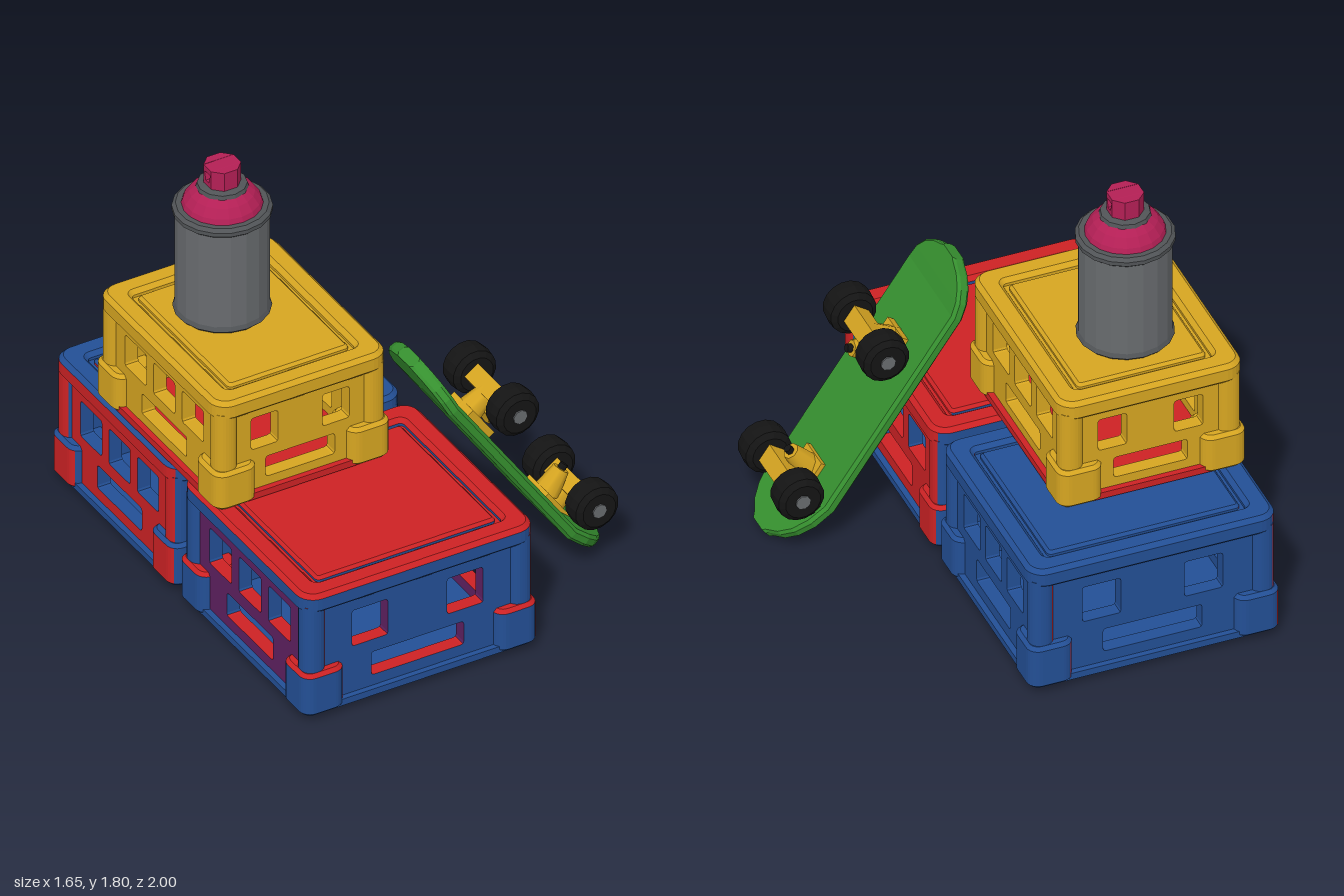
import * as THREE from 'three';

const mat = (name, color) => {
  const m = new THREE.MeshStandardMaterial({ color });
  m.name = name;
  return m;
};
const blue = mat('blue', 0x234f95), red = mat('red', 0xcc2224), yellow = mat('yellow', 0xd6a521);
const purple = mat('purple', 0x5e2060), green = mat('green', 0x36902f), black = mat('black', 0x141414);
const grey = mat('grey', 0x686b6e), darkGrey = mat('dark grey', 0x515457), pink = mat('pink', 0xb31f55);

// Flat-shaded geometry whose triangles are grouped by facing: +x, -x, +y, -y, +z, -z
function groupByFacing(src) {
  const p = (src.index ? src.toNonIndexed() : src).attributes.position;
  const buckets = [[], [], [], [], [], []];
  const t = new THREE.Triangle(), n = new THREE.Vector3();
  for (let i = 0; i < p.count; i += 3) {
    t.setFromAttributeAndIndices(p, i, i + 1, i + 2).getNormal(n);
    const c = n.toArray(), size = c.map(Math.abs);
    size[1] += 0.02;
    const axis = size.indexOf(Math.max(...size));
    for (const v of [t.a, t.b, t.c]) buckets[axis * 2 + (c[axis] < 0 ? 1 : 0)].push(v.x, v.y, v.z);
  }
  const geo = new THREE.BufferGeometry();
  geo.setAttribute('position', new THREE.Float32BufferAttribute(buckets.flat(), 3));
  let start = 0;
  buckets.forEach((b, i) => {
    if (b.length) geo.addGroup(start, b.length / 3, i);
    start += b.length / 3;
  });
  geo.computeVertexNormals();
  return geo;
}

function add(parent, name, geo, material, x = 0, y = 0, z = 0) {
  const mesh = new THREE.Mesh(geo, material);
  mesh.name = name;
  mesh.position.set(x, y, z);
  parent.add(mesh);
  return mesh;
}

// Rectangle with rounded corners, as a shape or a hole
function roundRect(Type, w, h, r, cx = 0, cy = 0) {
  const s = new Type(), x = w / 2 - r, y = h / 2 - r;
  s.absarc(cx + x, cy + y, r, 0, Math.PI / 2);
  s.absarc(cx - x, cy + y, r, Math.PI / 2, Math.PI);
  s.absarc(cx - x, cy - y, r, Math.PI, Math.PI * 1.5);
  s.absarc(cx + x, cy - y, r, Math.PI * 1.5, Math.PI * 2);
  s.closePath();
  return s;
}

// Horizontal bevelled plate from y0 to y1, optionally a ring of the given border
function plate(w, d, r, y0, y1, bevel = 0, border = 0) {
  const s = roundRect(THREE.Shape, w, d, r);
  if (border) s.holes.push(roundRect(THREE.Path, w - 2 * border, d - 2 * border, 0.02));
  const g = new THREE.ExtrudeGeometry(s, {
    depth: y1 - y0 - 2 * bevel, curveSegments: 3, bevelEnabled: bevel > 0,
    bevelThickness: bevel, bevelSize: bevel, bevelOffset: -bevel, bevelSegments: 1,
  });
  return g.rotateX(-Math.PI / 2).translate(0, y0 + bevel, 0);
}

// Wall with a row of windows over a low slot
function wall(length, h, count) {
  const k = h / 0.57, wide = length - 0.1;
  const s = roundRect(THREE.Shape, wide, h - 0.04, 0.005, 0, (h - 0.04) / 2);
  const hole = (x, y0, y1, half) =>
    s.holes.push(roundRect(THREE.Path, 2 * half, (y1 - y0) * k, 0.012, x, (y0 + y1) / 2 * k));
  const offsets = count === 2 ? [-0.203, 0.203] : [-0.23, 0, 0.23];
  for (const o of offsets) hole(o * length, 0.25, 0.42, length * (count === 2 ? 0.077 : 0.086));
  hole(0, 0.08, 0.19, length * (count === 2 ? 0.197 : 0.18));
  return new THREE.ExtrudeGeometry(s, { depth: 0.06, bevelEnabled: false, curveSegments: 1 });
}

function crate(name, x, y, z, w, h, d, mats, wallMats, floorMats) {
  const g = new THREE.Group();
  g.name = name;
  g.position.set(x, y, z);
  const part = (n, geo, m = mats) => add(g, n, groupByFacing(geo), m);
  part('floor', plate(w - 0.03, d - 0.03, 0.06, 0, 0.03), floorMats);
  part('topRim', plate(w - 0.015, d - 0.015, 0.075, h - 0.09, h, 0.018, 0.1));
  part('topGroove', plate(w - 0.16, d - 0.16, 0.02, h - 0.06, h - 0.03));
  part('topPanel', plate(w - 0.25, d - 0.25, 0.02, h - 0.04, h - 0.006, 0.012));
  for (let i = 0; i < 4; i++) {
    const end = i % 2 === 0;
    const geo = wall(end ? w : d, h, end ? 2 : 3);
    geo.translate(0, 0, (end ? d : w) / 2 - 0.1).rotateY(i * Math.PI / 2);
    part('wall', geo, wallMats);
  }
  // Corner posts standing on wider feet
  const foot = 0.19, post = 0.1, fh = 0.2 * h / 0.57;
  for (const sx of [-1, 1]) for (const sz of [-1, 1]) {
    part('cornerFoot', plate(foot, foot, 0.05, 0, fh, 0.015)
      .translate(sx * (w - foot) / 2, 0, sz * (d - foot) / 2));
    part('cornerPost', plate(post, post, 0.045, fh - 0.03, h - 0.06)
      .translate(sx * ((w - post) / 2 - 0.015), 0, sz * ((d - post) / 2 - 0.015)));
  }
  return g;
}

function lathe(points, sides) {
  const g = new THREE.LatheGeometry(points.map(([r, y]) => new THREE.Vector2(r, y)), sides).toNonIndexed();
  g.computeVertexNormals();
  return g;
}

function sprayCan() {
  const g = new THREE.Group();
  g.name = 'sprayCan';
  g.position.set(-0.457, 1.125, -0.287);
  add(g, 'body', lathe([[0, 0.005], [0.188, 0.005], [0.188, 0.48], [0, 0.48]], 18), grey);
  add(g, 'bottomRim', lathe([[0, 0], [0.185, 0], [0.197, 0.012], [0.188, 0.03]], 18), darkGrey);
  add(g, 'topRim', lathe([[0.186, 0.46], [0.2, 0.472], [0.2, 0.49], [0.185, 0.503], [0.15, 0.503]], 18), darkGrey);
  add(g, 'dome', lathe([[0.165, 0.495], [0.155, 0.525], [0.13, 0.56], [0.095, 0.59], [0, 0.59]], 18), pink);
  add(g, 'neckRing', lathe([[0.09, 0.575], [0.105, 0.583], [0.1, 0.6], [0.075, 0.605], [0, 0.605]], 12), darkGrey);
  // Nozzle: octagonal in plan, with a hole running through it along x
  const core = roundRect(THREE.Shape, 0.06, 0.09, 0.002, 0, 0.645);
  core.holes.push(new THREE.Path().setFromPoints(
    [[-0.022, 0.665], [0.022, 0.665], [0.012, 0.625], [-0.012, 0.625]].map(a => new THREE.Vector2(...a))));
  const coreGeo = new THREE.ExtrudeGeometry(core, { depth: 0.136, bevelEnabled: false, curveSegments: 1 });
  add(g, 'nozzleCore', coreGeo.translate(0, 0, -0.068).rotateY(Math.PI / 2), pink);
  const side = new THREE.Shape([[-0.068, 0.03], [-0.03, 0.068], [0.03, 0.068], [0.068, 0.03]]
    .map(a => new THREE.Vector2(...a)));
  for (const turn of [0, Math.PI]) {
    const geo = new THREE.ExtrudeGeometry(side, { depth: 0.09, bevelEnabled: false });
    add(g, 'nozzleSide', geo.rotateX(-Math.PI / 2).rotateY(turn).translate(0, 0.6, 0), pink);
  }
  return g;
}

// Deck skinned over cross-sections along its bent path
function deck() {
  const path = [[-0.018, 1.155], [0.06, 1.0], [0.6, 0.215], [0.8, 0.035]].map(a => new THREE.Vector2(...a));
  const rounding = [1, 0.95, 0.82, 0.62, 0.35, 0];
  const stations = [
    ...rounding.map(u => [path[1].clone().lerp(path[0], u), u]),
    ...rounding.slice().reverse().map(u => [path[2].clone().lerp(path[3], u), u]),
  ];
  const pos = [], index = [], N = 8;
  stations.forEach(([p, u], i) => {
    const a = stations[Math.max(i - 1, 0)][0], b = stations[Math.min(i + 1, stations.length - 1)][0];
    const dir = b.clone().sub(a).normalize();
    const w = 0.23 * Math.max(Math.sqrt(1 - u * u), 0.25), t = 0.027, e = 0.014;
    for (const [n, z] of [[t, w - e], [e, w], [-e, w], [-t, w - e], [-t, e - w], [-e, -w], [e, -w], [t, e - w]])
      pos.push(p.x - dir.y * n, p.y + dir.x * n, z);
    if (i) for (let k = 0; k < N; k++) {
      const c = (i - 1) * N + k, d = (i - 1) * N + (k + 1) % N;
      index.push(c, c + N, d, d, c + N, d + N);
    }
  });
  const last = (stations.length - 1) * N;
  for (let k = 1; k < N - 1; k++) index.push(0, k, k + 1, last, last + k + 1, last + k);
  const g = new THREE.BufferGeometry();
  g.setAttribute('position', new THREE.Float32BufferAttribute(pos, 3));
  g.setIndex(index);
  // Turn the skin outward if the winding came out reversed
  let volume = 0;
  const A = new THREE.Vector3(), B = new THREE.Vector3(), C = new THREE.Vector3();
  for (let i = 0; i < index.length; i += 3) {
    [A, B, C].forEach((v, k) => v.fromArray(pos, index[i + k] * 3));
    volume += A.dot(B.cross(C));
  }
  if (volume < 0) g.setIndex(index.reverse());
  const flat = g.toNonIndexed();
  flat.computeVertexNormals();
  return flat;
}

// Truck in board space: x along the deck, y away from it; inward points to mid-deck
function truck(name, x, y, height, inward) {
  const g = new THREE.Group();
  g.name = name;
  g.position.set(x, y, 0);
  g.rotation.z = Math.atan2(-0.823, 0.567);
  add(g, 'basePlate', new THREE.BoxGeometry(0.17, 0.035, 0.15), yellow, inward * 0.03, 0.035 - height, 0);
  add(g, 'hanger', new THREE.BoxGeometry(0.08, 0.075, 0.22), yellow, 0, -0.005, 0);
  add(g, 'pivot', new THREE.CylinderGeometry(0.04, 0.06, height - 0.03, 8), yellow, 0, -height / 2 + 0.01, 0);
  const king = add(g, 'kingpin', new THREE.CylinderGeometry(0.035, 0.055, 0.11, 8), yellow, inward * 0.075, -0.04, 0);
  const nut = add(g, 'kingpinNut', new THREE.CylinderGeometry(0.018, 0.018, 0.03, 6), black, inward * 0.093, 0.02, 0);
  king.rotation.z = nut.rotation.z = -inward * 0.3;
  const turned = geo => geo.rotateX(Math.PI / 2);
  add(g, 'axle', turned(new THREE.CylinderGeometry(0.022, 0.022, 0.42, 8)), yellow);
  for (const s of [-1, 1]) {
    const profile = [[0, -0.06], [0.075, -0.06], [0.098, -0.042], [0.102, 0], [0.098, 0.042], [0.075, 0.06], [0, 0.06]];
    add(g, 'wheel', turned(lathe(profile, 16)), black, 0, 0, s * 0.168);
    add(g, 'wheelHub', turned(new THREE.CylinderGeometry(0.032, 0.032, 0.008, 8)), grey, 0, 0, s * 0.23);
  }
  return g;
}

export function createModel() {
  const model = new THREE.Group();
  model.name = 'stackedCratesWithSkateboard';
  const all = m => Array(6).fill(m);
  const backMats = [blue, red, blue, blue, blue, blue];
  const frontMats = [red, blue, red, blue, blue, blue];
  const frontWalls = [red, purple, red, blue, blue, blue];
  model.add(
    crate('backCrate', -0.295, 0.045, -0.518, 1.07, 0.57, 0.964, backMats, backMats, all(blue)),
    crate('frontCrate', -0.295, 0.045, 0.5, 1.07, 0.57, 1.0, frontMats, frontWalls, all(blue)),
    crate('topCrate', -0.428, 0.62, -0.173, 0.8, 0.505, 0.97, all(yellow), all(yellow), all(red)),
    sprayCan(),
  );
  // Skateboard leaning on the stack
  const board = new THREE.Group();
  board.name = 'skateboard';
  board.position.z = 0.418;
  add(board, 'deck', deck(), green);
  board.add(truck('upperTruck', 0.356, 0.872, 0.165, 1), truck('lowerTruck', 0.718, 0.29, 0.145, -1));
  model.add(board);
  return model;
}
